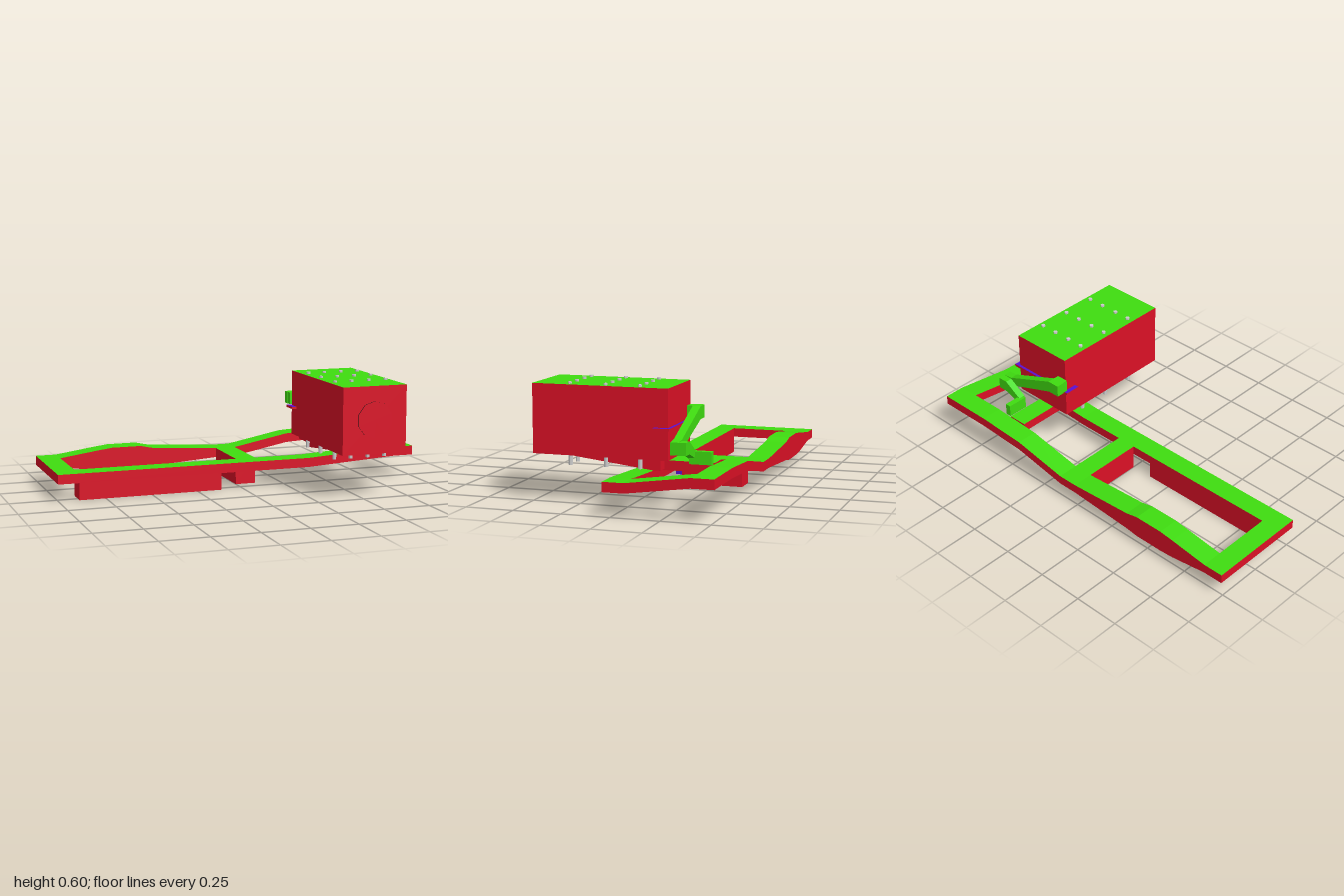
import * as THREE from 'three';

const mat = (color) => new THREE.MeshStandardMaterial({ color, flatShading: true });
const GREEN = mat(0x3fdc10), RED = mat(0xdc1026), PURPLE = mat(0x5a10d0);
const GREY = mat(0xcccccc), BLACK = mat(0x111111);

// Assign green to faces looking up, red to sides, purple to faces looking down
function paint(source) {
  const geo = source.index ? source.toNonIndexed() : source;
  geo.computeVertexNormals();
  geo.clearGroups();
  const n = geo.attributes.normal;
  let start = 0, last = -1;
  for (let i = 0; i <= n.count; i += 3) {
    const y = i < n.count ? n.getY(i) : 0;
    const m = i === n.count ? -2 : y > 0.4 ? 0 : y < -0.4 ? 2 : 1;
    if (m !== last) {
      if (i > start) geo.addGroup(start, i - start, last);
      start = i;
      last = m;
    }
  }
  return geo;
}

const outline = (pts) => new THREE.Shape(pts.map(([a, b]) => new THREE.Vector2(a, b)));

// Profile in x,y swept from z0 to z1
function sweepZ(pts, z0, z1) {
  return new THREE.ExtrudeGeometry(outline(pts), { depth: z1 - z0, bevelEnabled: false }).translate(0, 0, z0);
}

// Profile in z,y swept from x0 to x1
function sweepX(pts, x0, x1) {
  return new THREE.ExtrudeGeometry(outline(pts), { depth: x1 - x0, bevelEnabled: false })
    .rotateY(-Math.PI / 2).translate(x1, 0, 0);
}

function block(x0, x1, y0, y1, z0, z1) {
  return new THREE.BoxGeometry(x1 - x0, y1 - y0, z1 - z0)
    .translate((x0 + x1) / 2, (y0 + y1) / 2, (z0 + z1) / 2);
}

export function createModel() {
  const group = new THREE.Group();
  const add = (name, geo, material) => {
    const mesh = new THREE.Mesh(material ? geo : paint(geo), material || [GREEN, RED, PURPLE]);
    mesh.name = name;
    group.add(mesh);
    return mesh;
  };

  // Frame rails: level at the front, humped and rising at the back
  add('frontRail', sweepZ([
    [-1, 0.09], [0.38, 0.09], [0.89, 0.12], [1, 0.12],
    [1, 0.17], [0.89, 0.17], [0.38, 0.14], [-1, 0.14],
  ], -0.07, 0.04));
  add('backRail', sweepZ([
    [-1, 0.09], [-0.89, 0.09], [-0.68, 0.06], [-0.6, 0.055], [-0.44, 0.055], [-0.37, 0.065],
    [0, 0.09], [0.11, 0.09], [0.42, 0.15], [0.7, 0.165], [1, 0.165],
    [1, 0.215], [0.7, 0.215], [0.42, 0.2], [0.11, 0.14], [0, 0.14],
    [-0.37, 0.165], [-0.44, 0.18], [-0.6, 0.18], [-0.68, 0.17], [-0.89, 0.14], [-1, 0.14],
  ], -0.515, -0.4));

  // Bars joining the two rails
  add('leftEndBar', block(-1, -0.89, 0.09, 0.14, -0.4, -0.07));
  add('rightEndBar', sweepX([
    [-0.4, 0.165], [-0.07, 0.12], [-0.07, 0.17], [-0.4, 0.215],
  ], 0.89, 1));
  add('middleCrossBlock', block(0, 0.11, 0, 0.14, -0.4, -0.07));
  add('mountCrossBar', block(0.5, 0.605, 0.165, 0.215, -0.4, -0.1));

  // Skirt hanging below the front rail, with a painted end
  add('frontSkirt', block(-0.89, -0.12, 0, 0.09, -0.07, 0.04), [PURPLE, RED, RED, RED, RED, RED]);

  // Tapered bracket carrying the housing
  add('mountWedge', sweepX([
    [-0.14, 0.172], [-0.1, 0.172], [0.43, 0.235], [-0.14, 0.235],
  ], 0.44, 0.665));

  // Housing, its round front cover and side plate
  add('housing', block(0.375, 0.73, 0.235, 0.588, -0.2, 0.508));
  add('frontCover', new THREE.CylinderGeometry(0.097, 0.097, 0.006, 10)
    .rotateX(Math.PI / 2).translate(0.553, 0.413, 0.51), [BLACK, RED, RED]);
  add('sidePlate', block(0.35, 0.755, 0.384, 0.396, -0.215, -0.13), [RED, RED, PURPLE, PURPLE, RED, RED]);

  // Through bolts in a grid
  for (const x of [0.41, 0.503, 0.601, 0.697]) {
    for (const z of [0.32, 0.132, -0.046]) {
      add('bolt', new THREE.CylinderGeometry(0.011, 0.011, 0.416, 8).translate(x, 0.39, z), GREY);
    }
  }

  // Square duct stepping down from the housing to the frame
  add('ductInlet', block(0.365, 0.43, 0.4, 0.465, -0.235, -0.2), GREEN);
  add('ductLongArm', sweepZ([
    [0.362, 0.4], [0.43, 0.4], [0.785, 0.275], [0.785, 0.338], [0.73, 0.345], [0.43, 0.465], [0.362, 0.465],
  ], -0.272, -0.23), GREEN);
  add('ductShortArm', sweepZ([
    [0.63, 0.235], [0.73, 0.275], [0.785, 0.275], [0.785, 0.338], [0.73, 0.338], [0.63, 0.275],
  ], -0.31, -0.272), GREEN);
  add('ductOutlet', block(0.613, 0.645, 0.21, 0.275, -0.395, -0.28), GREEN);

  return group;
}
